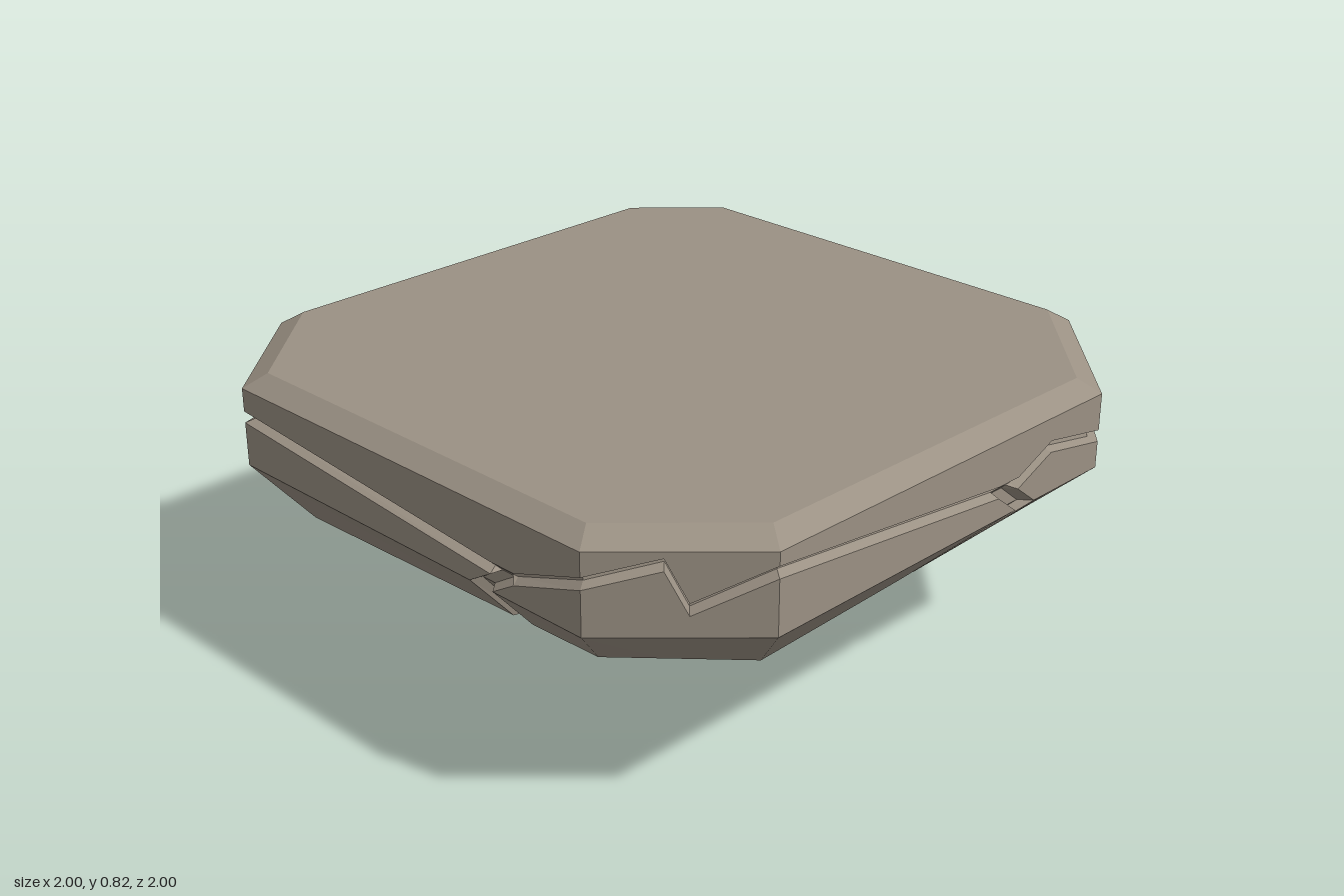
import * as THREE from 'three';

// Octagonal outline [x, z], clockwise from above, starting at back -x
const OUTLINE = [[-0.77, -1], [0.62, -1], [1, -0.62], [1, 0.67], [0.67, 1], [-0.68, 1], [-1, 0.64], [-1, -0.77]];

// Heights of the horizontal crack at the corners
const CRACK_Y = [0.71, 0.67, 0.66, 0.73, 0.70, 0.70, 0.61, 0.71];

// Rings from top to bottom: scale plus height (one value or one per corner);
// crack is an offset from the crack line
const RINGS = [
  { s: 0.94, y: 0.82 },
  { s: 1, y: 0.78 },
  { s: 1, crack: 0.012 },
  { s: 0.972, crack: 0.005 },
  { s: 0.975, crack: -0.01 },
  { s: 1, crack: -0.022 },
  { s: 1, y: [0.55, 0.56, 0.56, 0.55, 0.55, 0.55, 0.53, 0.53] },
  { s: 0.86, y: [0.34, 0.43, 0.43, 0.39, 0.40, 0.37, 0.36, 0.30] },
  { s: 0.75, y: [0.33, 0.41, 0.42, 0.385, 0.39, 0.365, 0.35, 0.29] },
  { s: 0.665, y: [0.20, 0.31, 0.33, 0.28, 0.26, 0.25, 0.24, 0.18] },
  { s: 0.25, y: [0.09, 0.10, 0.11, 0.10, 0.07, 0.07, 0.07, 0.08] },
  { s: 0.035, y: 0.006 },
];
const STEP = 9; // ring at the foot of the second tier

// Zigzag points of the horizontal crack: edge, position along it, height
const ZIGZAGS = [[1, 0.5, 0.69], [2, 0.17, 0.70], [3, 0.45, 0.63], [3, 0.58, 0.75],
  [5, 0.31, 0.66], [5, 0.66, 0.70], [6, 0.4, 0.67], [7, 0.5, 0.63]];

// Grooves running down the sides; path is the position along the edge at the wall,
// wall foot, first tier foot, ledge, second tier foot, underside.
// bare tells on which side the second tier is broken away.
const GROOVES = [
  { edge: 0, y: 0.66, bare: 0, path: [0.52, 0.52, 0.52, 0.66, 0.66, 0.55] },
  { edge: 2, y: 0.64, bare: 1, path: [0.31, 0.25, 0.50, 0.58, 0.79, 0.6] },
  { edge: 4, y: 0.62, bare: -1, path: [0.21, 0.27, 0.24, 0.26, 0.45, 0.5] },
  { edge: 6, y: 0.61, bare: 0, path: [0.67, 0.67, 0.65, 0.65, 0.65, 0.6] },
];

const lerp = THREE.MathUtils.lerp;

// Ordered list of vertical columns around the outline
function makeColumns() {
  const columns = [];
  OUTLINE.forEach((_, edge) => {
    const list = [{ edge, t: () => 0, y: CRACK_Y[edge], bare: edge === 3 || edge === 4 }];
    for (const [e, t, y] of ZIGZAGS) if (e === edge) list.push({ edge, t: () => t, y });
    for (const g of GROOVES) {
      if (g.edge !== edge) continue;
      [-0.032, -0.018, 0.018, 0.032].forEach((offset, k) => list.push({
        edge, y: g.y,
        t: (r) => g.path[Math.min(Math.max(r - 5, 0), 5)] + offset,
        inner: k === 1 || k === 2,
        bare: (k === 0 && g.bare < 0) || (k === 3 && g.bare > 0),
      }));
    }
    list.sort((a, b) => a.t(0) - b.t(0));
    columns.push(...list);
  });
  return columns;
}

// Position of one column on one ring
function pointAt(column, r) {
  const ring = RINGS[r];
  const t = column.t(r), i = column.edge, j = (i + 1) % 8;
  let s = ring.s, y;
  if (ring.crack !== undefined) y = column.y + ring.crack;
  else y = Array.isArray(ring.y) ? lerp(ring.y[i], ring.y[j], t) : ring.y;
  if (column.inner && r >= 5 && r <= STEP) s *= 0.965;
  if (column.bare && r === STEP) {
    s = 0.62;
    y += 0.065;
  }
  const shift = r > STEP ? 0.025 : 0;
  return new THREE.Vector3(
    lerp(OUTLINE[i][0], OUTLINE[j][0], t) * s - shift * 0.4, y,
    lerp(OUTLINE[i][1], OUTLINE[j][1], t) * s + shift);
}

// Faceted shell between two rings, optionally closed by a top or bottom point
function makeShell(name, columns, first, last, material, top, bottom) {
  const pts = [];
  const n = columns.length;
  const grid = RINGS.map((_, r) => columns.map((c) => pointAt(c, r)));
  for (let c = 0; c < n; c++) {
    const d = (c + 1) % n;
    for (let r = first; r < last; r++) {
      const [a, b, e, f] = [grid[r][c], grid[r][d], grid[r + 1][c], grid[r + 1][d]];
      pts.push(a, b, e, b, f, e);
    }
    if (top) pts.push(top, grid[first][d], grid[first][c]);
    if (bottom) pts.push(bottom, grid[last][c], grid[last][d]);
  }
  const geometry = new THREE.BufferGeometry().setFromPoints(pts);
  geometry.computeVertexNormals();
  const mesh = new THREE.Mesh(geometry, material);
  mesh.name = name;
  return mesh;
}

export function createModel() {
  const group = new THREE.Group();
  group.name = 'floatingRockPlatform';
  const stone = new THREE.MeshStandardMaterial({ color: 0x9b9184, flatShading: true });
  const columns = makeColumns();
  group.add(
    // Flat top with bevelled rim and horizontal crack
    makeShell('platformTop', columns, 0, 5, stone, new THREE.Vector3(0, 0.82, 0)),
    // Two stepped tiers with grooves
    makeShell('rockTiers', columns, 5, STEP, stone),
    // Shallow pointed underside
    makeShell('underside', columns, STEP, RINGS.length - 1, stone, null, new THREE.Vector3(-0.01, 0, 0.03)),
  );
  return group;
}
